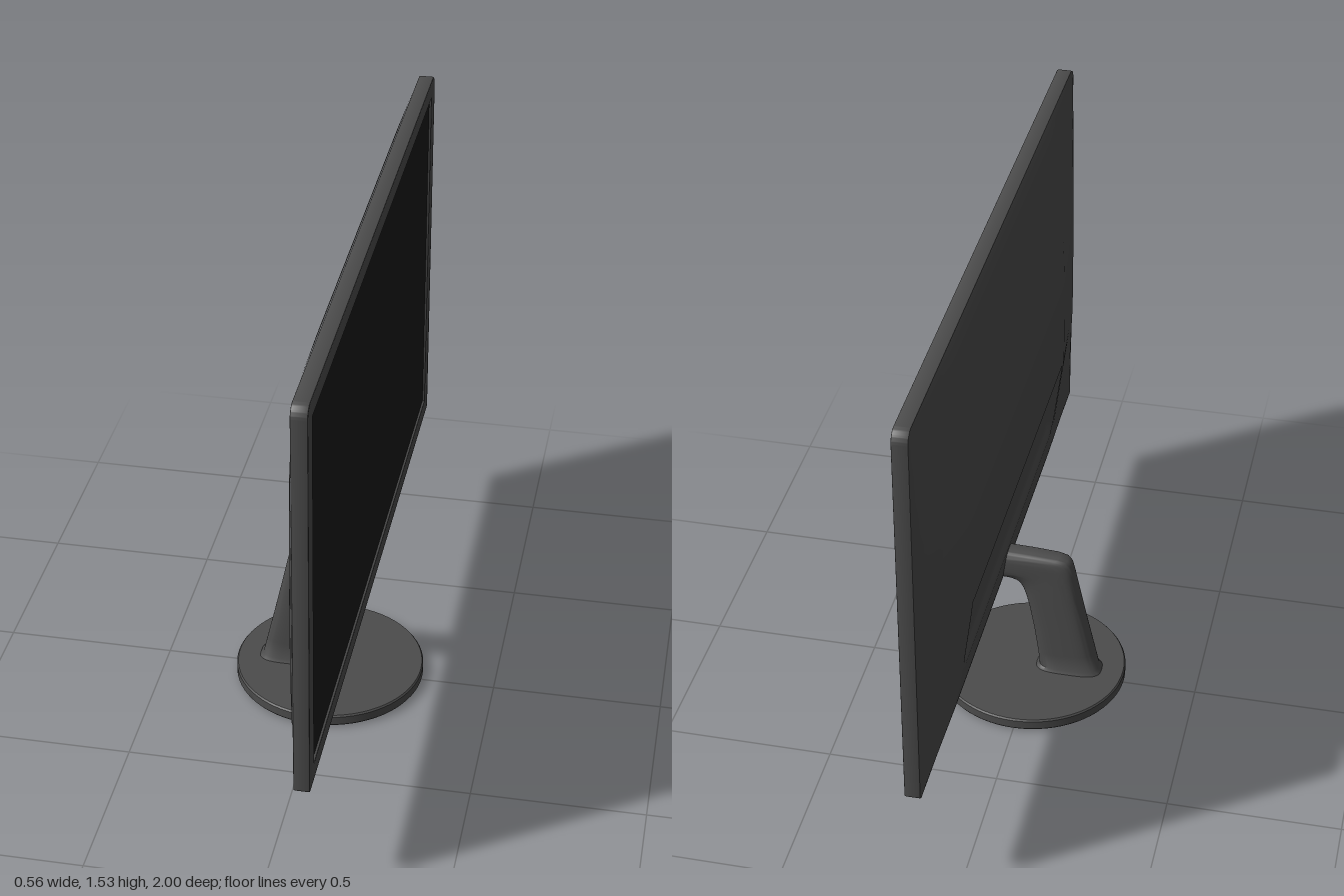
import * as THREE from 'three';
import { toCreasedNormals } from 'three/addons/utils/BufferGeometryUtils.js';

const BOTTOM = 0.355, TOP = 1.535, HALF = 1, SEAM = 0.09, FRONT = 0.135;
const CORNER_TOP = 0.035, CORNER_BOTTOM = 0.008;
const casing = new THREE.MeshStandardMaterial({ color: 0x4c4c4c });
const glass = new THREE.MeshStandardMaterial({ color: 0x1b1b1b });

function addMesh(group, name, geometry, material = casing) {
  const mesh = new THREE.Mesh(geometry, material);
  mesh.name = name;
  group.add(mesh);
  return mesh;
}

// Piecewise-linear lookup through [position, value] pairs
function lookup(points, t) {
  for (let i = 1; i < points.length; i++) {
    const [a, va] = points[i - 1], [b, vb] = points[i];
    if (t <= b) return va + (vb - va) * Math.max(0, (t - a) / (b - a));
  }
  return points[points.length - 1][1];
}

// Split each span between knots into equal steps
function gridLines(knots) {
  const lines = [knots[0][0]];
  for (let i = 1; i < knots.length; i++) {
    const [end, steps] = knots[i], start = knots[i - 1][0];
    for (let s = 1; s <= steps; s++) lines.push(start + (end - start) * s / steps);
  }
  return lines;
}

// Grid surface from a point function; rows run along v, columns along u
function gridSurface(us, vs, point) {
  const pos = [], index = [], n = us.length;
  for (const v of vs) for (const u of us) pos.push(...point(u, v));
  for (let j = 0; j < vs.length - 1; j++) {
    for (let i = 0; i < n - 1; i++) {
      const a = j * n + i, b = a + 1, c = a + n, d = c + 1;
      index.push(a, b, c, b, d, c);
    }
  }
  const geo = new THREE.BufferGeometry();
  geo.setAttribute('position', new THREE.Float32BufferAttribute(pos, 3));
  geo.setIndex(index);
  geo.computeVertexNormals();
  return geo;
}

// Front bezel with rounded top corners and a window for the display
function bezelGeometry() {
  const bevel = 0.004, w = HALF - bevel, lo = BOTTOM + bevel, hi = TOP - bevel;
  const r = CORNER_TOP - bevel, q = CORNER_BOTTOM - bevel;
  const shape = new THREE.Shape();
  shape.moveTo(-w + q, lo);
  shape.lineTo(w - q, lo);
  shape.absarc(w - q, lo + q, q, -Math.PI / 2, 0);
  shape.lineTo(w, hi - r);
  shape.absarc(w - r, hi - r, r, 0, Math.PI / 2);
  shape.lineTo(-w + r, hi);
  shape.absarc(-w + r, hi - r, r, Math.PI / 2, Math.PI);
  shape.lineTo(-w, lo + q);
  shape.absarc(-w + q, lo + q, q, Math.PI, Math.PI * 1.5);
  const s = 0.94 + bevel, hole = new THREE.Path();
  hole.moveTo(-s, 0.41 - bevel).lineTo(-s, 1.478 + bevel);
  hole.lineTo(s, 1.478 + bevel).lineTo(s, 0.41 - bevel).closePath();
  shape.holes.push(hole);
  const geo = new THREE.ExtrudeGeometry(shape, {
    depth: FRONT - SEAM - 2 * bevel, bevelThickness: bevel, bevelSize: bevel,
    bevelSegments: 2, curveSegments: 10,
  });
  geo.translate(0, 0, SEAM + bevel).rotateY(Math.PI / 2);
  return toCreasedNormals(geo, 0.6);
}

// Domed back with a scooped recess above the neck
function backGeometry() {
  const across = [[0, 1], [0.58, 1], [0.63, 0.96], [0.95, 0.28], [0.985, 0.14], [1, 0]];
  const upward = [[BOTTOM, 0], [0.365, 0.1], [0.4, 0.2], [0.7, 0.96], [0.74, 1], [0.9, 1.01],
    [1.0, 1], [1.1, 0.94], [1.2, 0.83], [1.3, 0.68], [1.42, 0.44], [1.5, 0.22], [1.525, 0.12], [TOP, 0]];
  const half = [[0, 0], [0.5, 5], [0.55, 4], [0.602, 12], [0.63, 2], [0.95, 8], [0.985, 4], [1, 4]];
  const right = gridLines(half);
  const zs = [...right.slice(1).reverse().map(z => -z), ...right];
  const ys = gridLines([[BOTTOM], [0.365, 3], [0.4, 3], [0.466, 4], [0.53, 14], [0.712, 8],
    [0.722, 3], [0.9, 5], [1.42, 20], [1.5, 5], [TOP, 8]]);

  const height = (z, y) => {
    const h = 0.055 * lookup(across, Math.abs(z)) * lookup(upward, y);
    // Distance inside the recess outline, rounded at its lower corners
    const sx = 0.6 - Math.abs(z), sy = y - 0.47, r = 0.05;
    let inside = Math.min(sx, sy);
    if (sx < r && sy < r) inside = r - Math.hypot(r - sx, r - sy);
    if (inside <= 0 || y > 0.72) return h;
    const k = THREE.MathUtils.smoothstep(inside, 0, 0.035);
    return THREE.MathUtils.lerp(h, Math.min(h, 0.01), k);
  };
  const geo = gridSurface(zs, ys, (z, y) => {
    const h = height(z, y);
    // Pull the outer corners onto the same arcs as the bezel
    const r = y > 1 ? CORNER_TOP : CORNER_BOTTOM;
    const cz = Math.sign(z) * (HALF - r), cy = y > 1 ? TOP - r : BOTTOM + r;
    const dz = z - cz, dy = y - cy;
    if (Math.abs(z) > HALF - r && (y > TOP - r || y < BOTTOM + r)) {
      const k = Math.max(Math.abs(dz), Math.abs(dy)) / (Math.hypot(dz, dy) || 1);
      return [SEAM - h, cy + dy * k, cz + dz * k];
    }
    return [SEAM - h, y, z];
  });
  return toCreasedNormals(geo, 0.7);
}

// Bent neck lofted through rounded sections: [rear x, rear y, front x, front y, half width]
function neckGeometry() {
  const sections = [
    [-0.215, 0.036, -0.012, 0.036, 0.052], [-0.212, 0.044, -0.015, 0.044, 0.05],
    [-0.203, 0.052, -0.024, 0.05, 0.045], [-0.19, 0.11, -0.019, 0.1, 0.044],
    [-0.167, 0.21, -0.006, 0.19, 0.042], [-0.145, 0.31, 0.008, 0.265, 0.04],
    [-0.127, 0.395, 0.018, 0.305, 0.039], [-0.119, 0.428, 0.025, 0.325, 0.038],
    [-0.107, 0.443, 0.034, 0.343, 0.038], [-0.08, 0.45, 0.046, 0.355, 0.038],
    [0.0, 0.455, 0.065, 0.362, 0.038], [0.1, 0.458, 0.1, 0.364, 0.038],
  ];
  const sides = 40;
  const us = Array.from({ length: sides + 1 }, (_, i) => i);
  const soft = v => Math.sign(v) * Math.abs(v) ** 0.6;
  const geo = gridSurface(us, sections.map((_, i) => i), (u, row) => {
    const [ax, ay, bx, by, w] = sections[row];
    const a = (u % sides) / sides * Math.PI * 2;
    const t = (1 + soft(Math.cos(a))) / 2;
    return [ax + (bx - ax) * t, ay + (by - ay) * t, -w * soft(Math.sin(a))];
  });
  return toCreasedNormals(geo, 0.8);
}

// Round foot with softened rims
function baseGeometry() {
  const profile = [[0, 0], [0.268, 0], [0.27, 0.004], [0.279, 0.005], [0.282, 0.009],
    [0.282, 0.035], [0.278, 0.04], [0, 0.041]].map(([r, y]) => new THREE.Vector2(r, y));
  return toCreasedNormals(new THREE.LatheGeometry(profile, 72), 0.5);
}

export function createModel() {
  const model = new THREE.Group();
  model.name = 'monitor';

  const panel = new THREE.Group();
  panel.name = 'panel';
  addMesh(panel, 'bezel', bezelGeometry());
  addMesh(panel, 'backShell', backGeometry());
  const display = addMesh(panel, 'display', new THREE.BoxGeometry(0.03, 1.08, 1.892), glass);
  display.position.set(0.113, 0.944, 0);

  const stand = new THREE.Group();
  stand.name = 'stand';
  addMesh(stand, 'neck', neckGeometry());
  addMesh(stand, 'base', baseGeometry());

  model.add(panel, stand);
  return model;
}
